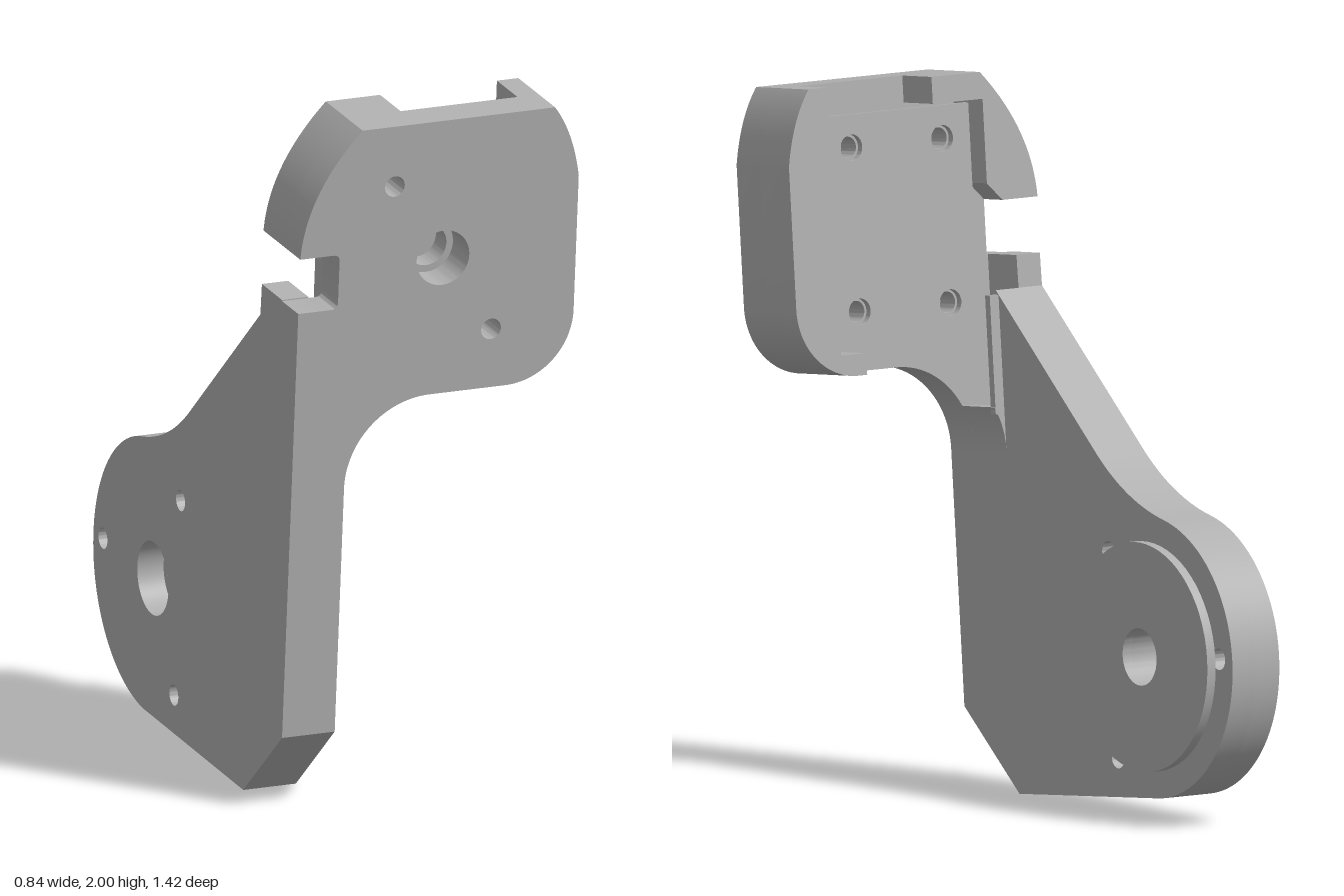
import * as THREE from 'three';
import { toCreasedNormals } from 'three/addons/utils/BufferGeometryUtils.js';

const gray = new THREE.MeshStandardMaterial({ color: 0xb0b0b0 });
gray.name = 'mid gray';

const TILT = THREE.MathUtils.degToRad(5);

function addHoles(shape, holes) {
  for (const [x, y, r] of holes) {
    shape.holes.push(new THREE.Path().absarc(x, y, r, 0, Math.PI * 2, true));
  }
  return shape;
}

function polygon(points) {
  return new THREE.Shape(points.map(([x, y]) => new THREE.Vector2(x, y)));
}

function extrude(shape, depth) {
  const geo = new THREE.ExtrudeGeometry(shape, { depth, bevelEnabled: false, curveSegments: 32 });
  return toCreasedNormals(geo, 0.5);
}

function part(name, geo) {
  const mesh = new THREE.Mesh(geo, gray);
  mesh.name = name;
  return mesh;
}

// Side plate slab: shape is drawn in (-z, y) and extruded along +x
function slab(name, shape, x0, x1) {
  const geo = extrude(shape, x1 - x0);
  geo.rotateY(Math.PI / 2);
  geo.translate(x0, 0, 0);
  return part(name, geo);
}

// Head layer: shape is drawn in (x, y), lying between two depths behind the front face
function layer(name, shape, d0, d1) {
  const geo = extrude(shape, d1 - d0);
  geo.translate(0, -0.22, -d1);
  return part(name, geo);
}

// Arm outline; the upper end is given as (z, y) points
function armShape(upperPoints) {
  const s = new THREE.Shape();
  s.moveTo(-0.3, 0.005);
  s.lineTo(0.345, 0.067);
  s.absarc(0.31, 0.46, 0.395, -1.475, 1.394, false);
  s.quadraticCurveTo(0.2, 0.882, 0.06, 1.0);
  for (const [z, y] of upperPoints) s.lineTo(-z, y);
  s.lineTo(-0.513, 0.945);
  s.lineTo(-0.6226, 0.935);
  s.lineTo(-0.56, 0.22);
  s.closePath();
  return s;
}

function createArm() {
  const arm = new THREE.Group();
  arm.name = 'arm';
  const screws = [[0.12, 0.73, 0.03], [0.64, 0.49, 0.03], [0.165, 0.16, 0.03]];

  // Outer half has the wider counterbore, inner half the cable pocket
  const outer = armShape([[0.415, 1.4], [0.425, 1.49], [0.56, 1.478]]);
  const inner = armShape([[0.412, 1.4], [0.4, 1.07], [0.525, 1.06]]);
  addHoles(outer, [...screws, [0.305, 0.46, 0.105]]);
  addHoles(inner, [...screws, [0.305, 0.46, 0.08]]);
  arm.add(slab('armOuterHalf', outer, -0.42, -0.34));
  arm.add(slab('armInnerHalf', inner, -0.34, -0.26));

  // Raised bearing disc around the pivot hole
  const disc = new THREE.Shape().absarc(0.305, 0.46, 0.32, 0, Math.PI * 2, false);
  addHoles(disc, [[0.305, 0.46, 0.08]]);
  arm.add(slab('pivotDisc', disc, -0.26, -0.232));
  return arm;
}

function createHead() {
  const head = new THREE.Group();
  head.name = 'head';
  head.position.set(0, 0.22, 0.56);
  head.rotation.x = TILT;

  const cx = 0.015, cy = 1.585, hx = 0.155, hy = 0.228;
  const diagonal = [[cx - hx, cy + hy], [cx + hx, cy - hy]];
  const corners = [...diagonal, [cx + hx, cy + hy], [cx - hx, cy - hy]];
  const drilled = (list, r) => list.map(([x, y]) => [x, y, r]);

  // Front plate with fillet into the arm and a side slot
  const front = new THREE.Shape();
  front.moveTo(-0.42, 0.935);
  front.lineTo(-0.26, 0.935);
  front.absarc(-0.01, 0.935, 0.25, Math.PI, Math.PI / 2, true);
  front.lineTo(0.22, 1.185);
  front.absarc(0.22, 1.385, 0.2, -Math.PI / 2, 0, false);
  front.lineTo(0.42, 1.78);
  front.quadraticCurveTo(0.4, 1.91, 0.34, 1.99);
  front.lineTo(-0.245, 1.99);
  front.quadraticCurveTo(-0.41, 1.82, -0.42, 1.63);
  front.lineTo(-0.32, 1.63);
  front.quadraticCurveTo(-0.3, 1.63, -0.3, 1.61);
  front.lineTo(-0.3, 1.49);
  front.quadraticCurveTo(-0.3, 1.47, -0.32, 1.47);
  front.lineTo(-0.42, 1.47);
  front.closePath();
  addHoles(front, [...drilled(diagonal, 0.03), [cx, cy, 0.08]]);
  head.add(layer('frontPlate', front, 0, 0.11));

  // Long wall on the free side, wrapping under the bottom
  const wall = new THREE.Shape();
  wall.moveTo(0.19, 1.185);
  wall.lineTo(0.22, 1.185);
  wall.absarc(0.22, 1.385, 0.2, -Math.PI / 2, 0, false);
  wall.lineTo(0.42, 1.78);
  wall.quadraticCurveTo(0.4, 1.91, 0.34, 1.99);
  wall.lineTo(0.275, 1.99);
  wall.lineTo(0.275, 1.245);
  wall.lineTo(0.19, 1.245);
  wall.closePath();
  head.add(layer('freeSideWall', wall, 0.11, 0.248));

  // Corner wall above the slot
  const corner = new THREE.Shape();
  corner.moveTo(-0.08, 1.99);
  corner.lineTo(-0.245, 1.99);
  corner.quadraticCurveTo(-0.41, 1.82, -0.42, 1.63);
  corner.lineTo(-0.3, 1.63);
  corner.lineTo(-0.25, 1.68);
  corner.lineTo(-0.25, 1.915);
  corner.lineTo(-0.08, 1.915);
  corner.closePath();
  head.add(layer('cornerWall', corner, 0.11, 0.248));

  // Low rim beside the slot
  const rim = polygon([[-0.3, 1.45], [-0.26, 1.45], [-0.26, 1.67], [-0.3, 1.64]]);
  head.add(layer('slotRim', rim, 0.11, 0.16));

  // Fillet behind the front plate and the thin rib beside the cable pocket
  const fillet = new THREE.Shape();
  fillet.moveTo(-0.27, 0.935);
  fillet.lineTo(-0.26, 0.935);
  fillet.absarc(-0.01, 0.935, 0.25, Math.PI, Math.PI * 5 / 6, true);
  fillet.lineTo(-0.27, 1.06);
  fillet.closePath();
  head.add(layer('filletBack', fillet, 0.11, 0.262));
  const rib = polygon([[-0.27, 1.04], [-0.23, 1.04], [-0.23, 1.37], [-0.27, 1.37]]);
  head.add(layer('pocketRib', rib, 0.24, 0.262));

  // Pedestal and mounting plate with four screw holes
  const box = (x0, y0, x1, y1) => polygon([[x0, y0], [x1, y0], [x1, y1], [x0, y1]]);
  const pedestal = addHoles(box(-0.2, 1.3, 0.225, 1.87),
    [...drilled(corners, 0.03), [cx, cy, 0.06]]);
  head.add(layer('pedestal', pedestal, 0.11, 0.18));
  const plate = addHoles(box(-0.235, 1.265, 0.263, 1.905), drilled(corners, 0.037));
  head.add(layer('mountingPlate', plate, 0.18, 0.2));
  return head;
}

export function createModel() {
  const model = new THREE.Group();
  model.name = 'tiltedBracket';
  model.add(createArm(), createHead());
  return model;
}
